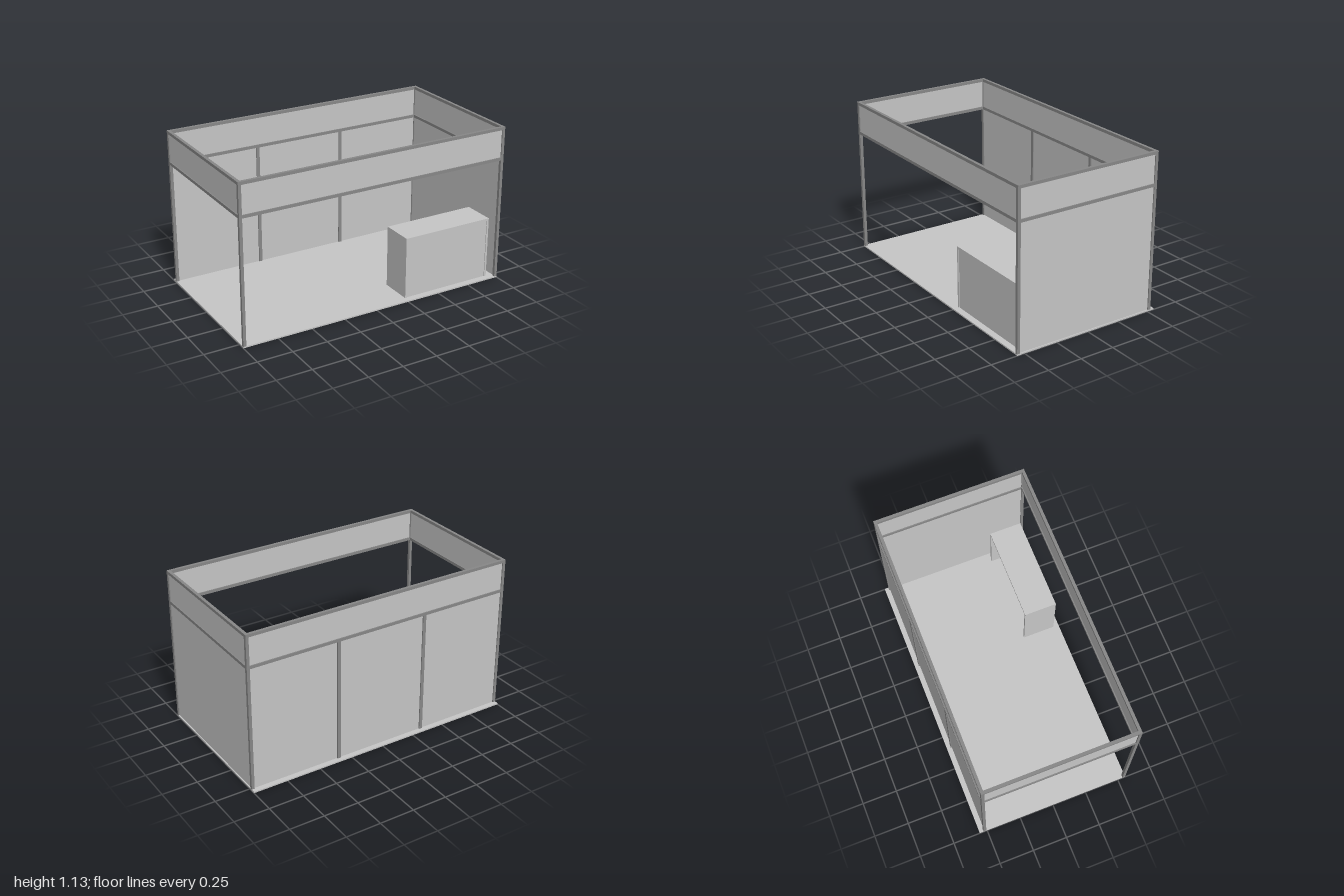
import * as THREE from 'three';

export function createModel() {
  const model = new THREE.Group();
  const panelGrey = new THREE.MeshStandardMaterial({ color: 0xc6c6c6 });
  panelGrey.name = 'light grey panel';
  const frameGrey = new THREE.MeshStandardMaterial({ color: 0x888888 });
  frameGrey.name = 'dark grey frame';

  // Box given by its lower and upper corners
  const box = (name, material, [x0, y0, z0], [x1, y1, z1], parent = model) => {
    const mesh = new THREE.Mesh(new THREE.BoxGeometry(x1 - x0, y1 - y0, z1 - z0), material);
    mesh.position.set((x0 + x1) / 2, (y0 + y1) / 2, (z0 + z1) / 2);
    mesh.name = name;
    parent.add(mesh);
  };

  const T = 0.021;                   // frame thickness
  const P = 0.003;                   // half panel thickness
  const FLOOR = 0.01, TOP = 1.13, RAIL = 0.89;
  const FRONT = 0.556, BACK = -0.527;
  const zf = FRONT - T / 2, zb = BACK + T / 2, xs = 1 - T / 2;

  box('floor', panelGrey, [-1, 0, -0.556], [1, FLOOR, 0.556]);

  // Corner posts, then the two posts dividing the back wall
  for (const x of [-xs, xs])
    for (const z of [zf, zb])
      box('cornerPost', frameGrey, [x - T / 2, FLOOR, z - T / 2], [x + T / 2, TOP, z + T / 2]);
  for (const x of [-0.335, 0.335])
    box('backPost', frameGrey, [x - 0.012, FLOOR, BACK], [x + 0.012, RAIL, BACK + T]);

  // Rails above and below the fascia on all four sides
  for (const y of [RAIL, TOP - T]) {
    for (const z of [zf, zb])
      box('longRail', frameGrey, [-1 + T, y, z - T / 2], [1 - T, y + T, z + T / 2]);
    for (const x of [-xs, xs])
      box('sideRail', frameGrey, [x - T / 2, y, BACK + T], [x + T / 2, y + T, FRONT - T]);
  }

  // Fascia panels
  for (const z of [zf, zb])
    box('longFascia', panelGrey, [-1 + T, RAIL + T, z - P], [1 - T, TOP - T, z + P]);
  for (const x of [-xs, xs])
    box('sideFascia', panelGrey, [x - P, RAIL + T, BACK + T], [x + P, TOP - T, FRONT - T]);

  // Wall panels: three at the back, one on the +x side
  const edges = [[-1 + T, -0.347], [-0.323, 0.323], [0.347, 1 - T]];
  for (const [a, b] of edges)
    box('backPanel', panelGrey, [a, FLOOR, zb - P], [b, RAIL, zb + P]);
  box('sidePanel', panelGrey, [xs - P, FLOOR, BACK + T], [xs + P, RAIL, FRONT - T]);

  // Counter: top board on two side boards, with a front board set slightly back
  const counter = new THREE.Group();
  counter.name = 'counter';
  model.add(counter);
  const L = 0.25, R = 0.935, H = 0.455, B = 0.015, cb = 0.28, cf = 0.515;
  box('counterTop', panelGrey, [L, H - B, cb], [R, H, cf], counter);
  box('counterSide', panelGrey, [L, FLOOR, cb], [L + B, H - B, cf], counter);
  box('counterSide', panelGrey, [R - B, FLOOR, cb], [R, H - B, cf], counter);
  box('counterFront', panelGrey, [L + B, FLOOR, cf - 0.02], [R - B, H - B, cf - 0.005], counter);

  return model;
}
